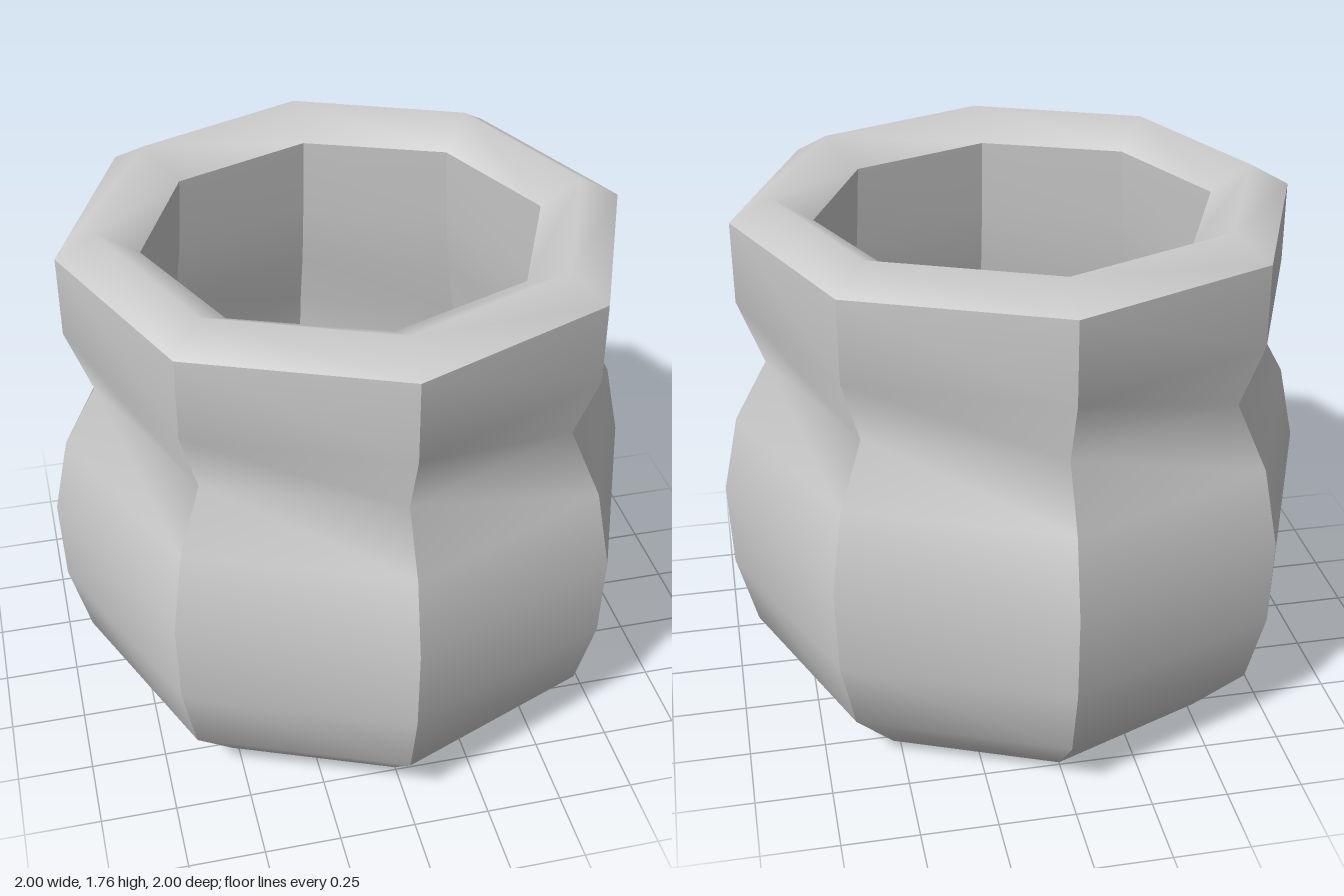
import * as THREE from 'three';
import { mergeGeometries } from 'three/addons/utils/BufferGeometryUtils.js';

const SIDES = 8;
const INNER_Z = 0.955; // the opening is slightly narrower front to back

const toPoints = (list) => list.map(([r, y]) => new THREE.Vector2(r, y));

// Eight wall panels: smooth up the profile, sharp at the corners
function panelled(profile) {
  const step = (Math.PI * 2) / SIDES;
  const panels = [];
  for (let i = 0; i < SIDES; i++) {
    const panel = new THREE.LatheGeometry(toPoints(profile), 1, i * step, step);
    panel.computeVertexNormals();
    panels.push(panel);
  }
  return mergeGeometries(panels);
}

// Eight-sided ring or bowl, smooth in both directions
const smooth = (profile) => new THREE.LatheGeometry(toPoints(profile), SIDES);

export function createModel() {
  const pot = new THREE.Group();
  pot.name = 'pot';
  const material = new THREE.MeshStandardMaterial({ color: 0xcccccc });

  function add(name, geometry) {
    const mesh = new THREE.Mesh(geometry, material);
    mesh.name = name;
    pot.add(mesh);
  }

  // Rounded belly, pinched neck and upright collar
  add('outerWall', panelled([
    [0.74, 0], [0.925, 0.2], [0.99, 0.45], [1, 0.74],
    [0.945, 1], [0.835, 1.2], [0.915, 1.42], [0.915, 1.69],
  ]));

  // Flat underside
  add('base', smooth([[0, 0], [0.74, 0]]));

  // Lip, rising to a crest and dipping to the opening
  const rim = smooth([[0.915, 1.69], [0.785, 1.765], [0.652, 1.68]]);
  const pos = rim.attributes.position;
  for (let i = 0; i < pos.count; i++) {
    if (Math.hypot(pos.getX(i), pos.getZ(i)) < 0.7) pos.setZ(i, pos.getZ(i) * INNER_Z);
  }
  add('rim', rim);

  // Hollow inside, widening below the opening to a bowl-shaped floor
  add('innerWall', panelled([
    [0.652, 1.68], [0.67, 1.42], [0.7, 1.2], [0.75, 1], [0.79, 0.74], [0.76, 0.5],
  ]).scale(1, 1, INNER_Z));
  add('innerFloor', smooth([
    [0.76, 0.5], [0.66, 0.32], [0.42, 0.19], [0, 0.13],
  ]).scale(1, 1, INNER_Z));

  return pot;
}
